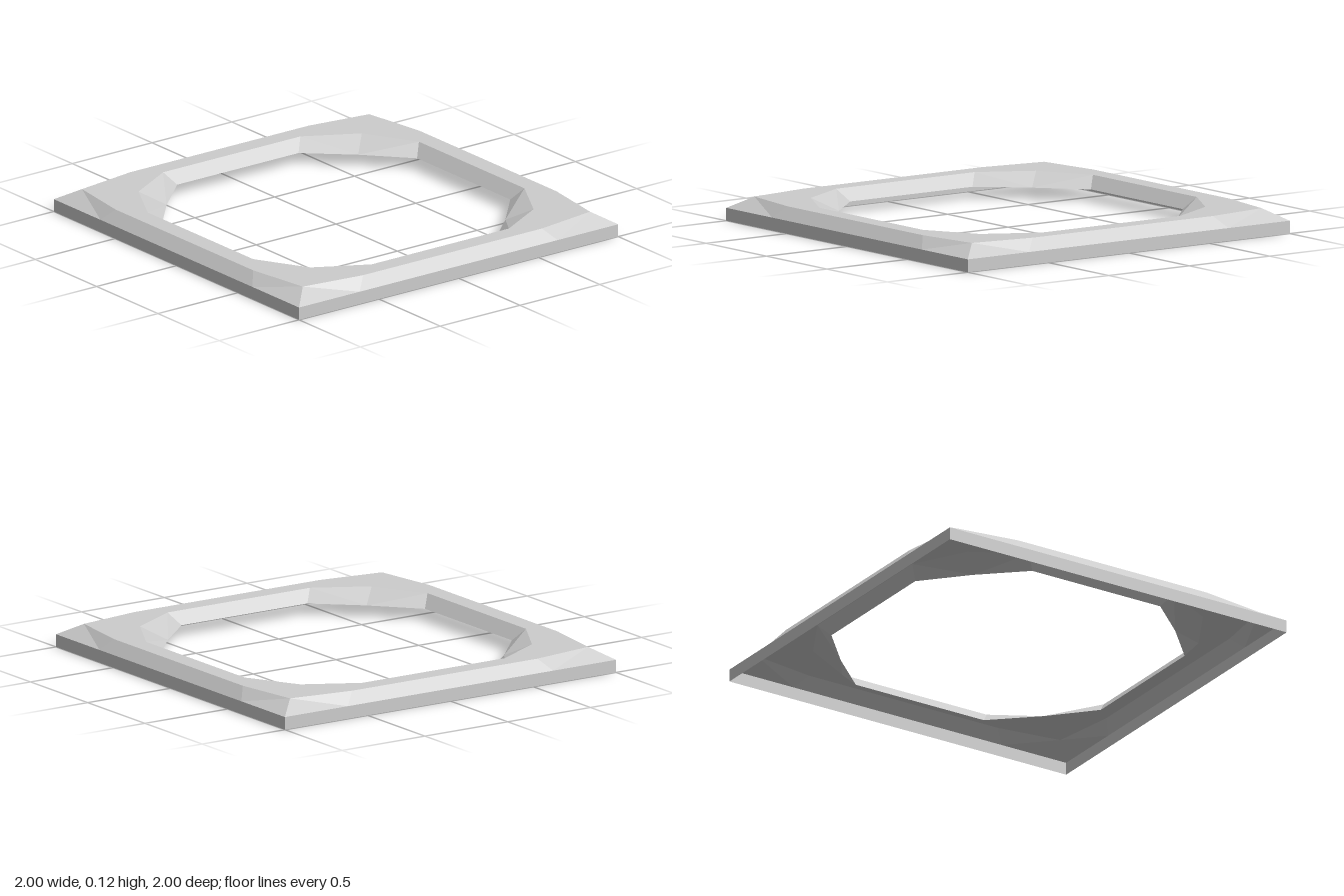
import * as THREE from 'three';

// One square-symmetric ring of 12 points: two along each side, then the corner.
function ring(side, half, corner, y) {
  const points = [];
  for (let k = 0; k < 4; k++) {
    const c = Math.round(Math.cos(k * Math.PI / 2));
    const s = Math.round(Math.sin(k * Math.PI / 2));
    for (const [x, z] of [[side, -half], [side, half], [corner, corner]]) {
      points.push([x * c - z * s, y, x * s + z * c]);
    }
  }
  return points;
}

// Flat-faced strip joining two rings, with diagonals mirrored about each corner.
function strip(from, to) {
  const positions = [];
  const n = from.length;
  for (let i = 0; i < n; i++) {
    const j = (i + 1) % n;
    const a = from[i], b = to[i], c = to[j], d = from[j];
    const faces = i % 3 === 2 ? [a, b, d, b, c, d] : [a, b, c, a, c, d];
    for (const p of faces) positions.push(...p);
  }
  const geometry = new THREE.BufferGeometry();
  geometry.setAttribute('position', new THREE.Float32BufferAttribute(positions, 3));
  geometry.computeVertexNormals();
  return geometry;
}

export function createModel() {
  const group = new THREE.Group();
  group.name = 'squareFrame';
  const paleGrey = new THREE.MeshStandardMaterial({ color: 0xcccccc, side: THREE.DoubleSide });
  paleGrey.name = 'paleGrey';

  // Cross-section from the outer foot, over the top, to the opening; open below.
  const rings = [
    ring(1, 0.62, 1, 0),
    ring(1, 0.62, 1, 0.065),
    ring(0.95, 0.56, 0.9, 0.125),
    ring(0.85, 0.43, 0.7, 0.125),
    ring(0.8, 0.38, 0.6, 0.0625),
  ];
  const names = ['outerWall', 'outerBevel', 'topFace', 'innerBevel'];

  names.forEach((name, i) => {
    const mesh = new THREE.Mesh(strip(rings[i], rings[i + 1]), paleGrey);
    mesh.name = name;
    group.add(mesh);
  });
  return group;
}
